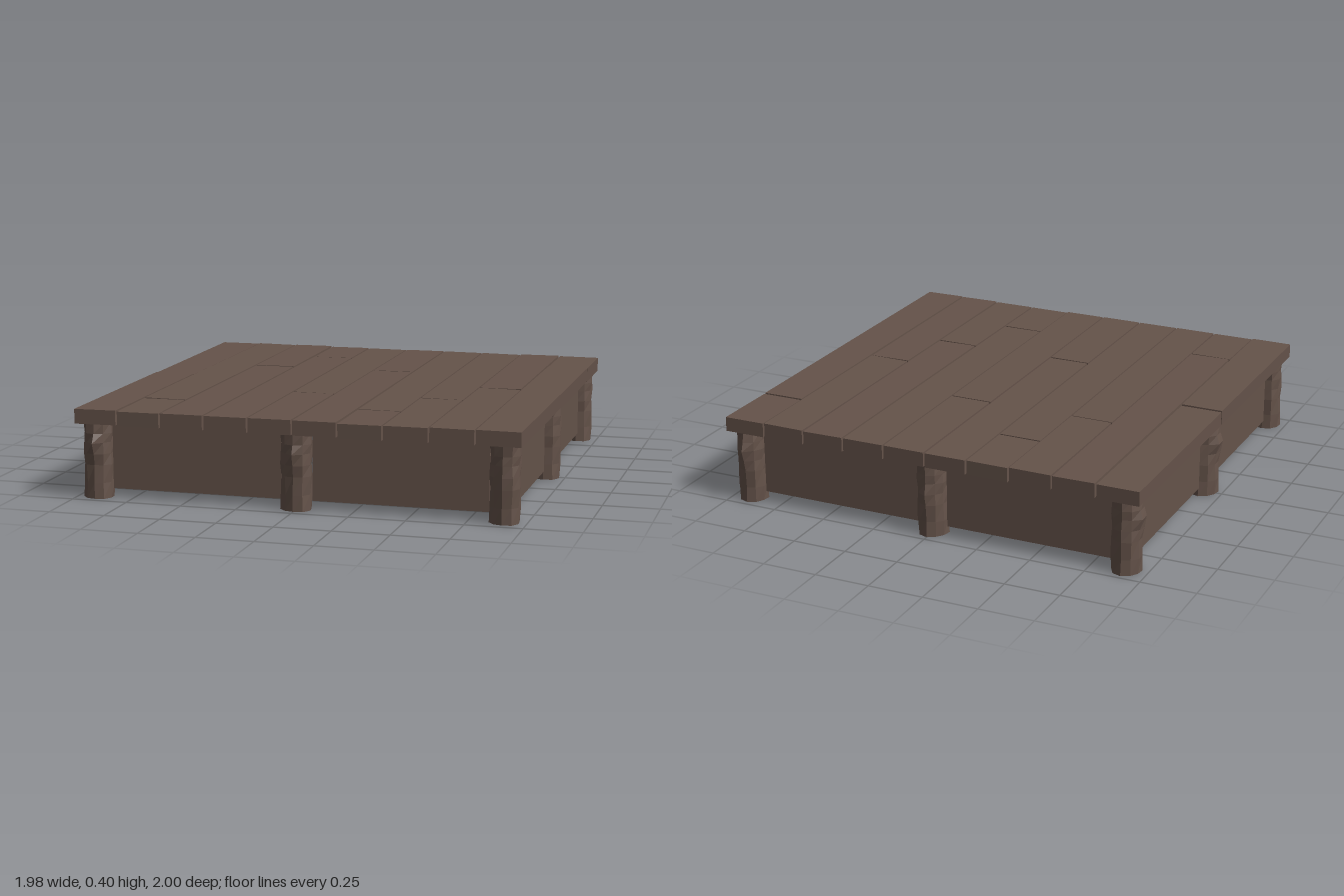
import * as THREE from 'three';

const wood = new THREE.MeshStandardMaterial({ color: 0x65534a, flatShading: true });
wood.name = 'weathered wood';

// Small seeded generator for the hand-hewn irregularities
function seeded(seed) {
  let s = seed;
  return () => {
    s = (s * 16807) % 2147483647;
    return s / 2147483647;
  };
}

function addBox(parent, name, size, position) {
  const mesh = new THREE.Mesh(new THREE.BoxGeometry(...size), wood);
  mesh.name = name;
  mesh.position.set(...position);
  parent.add(mesh);
  return mesh;
}

// Rough log: a ten-sided cylinder with a wobbly outline and one knot pulled outwards
function makePost(seed, knotAngle, knotY, knotSize) {
  const rand = seeded(seed);
  const sides = 10, height = 0.335;
  const heights = [0, 0.07, 0.15, 0.2, 0.25, 0.29, height];
  const rows = heights.length - 1;
  const wobble = Array.from({ length: sides }, () => (rand() - 0.5) * 0.008);
  const leanX = (rand() - 0.5) * 0.014, leanZ = (rand() - 0.5) * 0.014;
  const geo = new THREE.CylinderGeometry(1, 1, height, sides, rows);
  const p = geo.attributes.position;
  for (let i = 0; i < p.count; i++) {
    const r0 = Math.hypot(p.getX(i), p.getZ(i));
    const a = Math.atan2(p.getX(i), p.getZ(i));
    const row = Math.round((p.getY(i) / height + 0.5) * rows);
    const y = heights[row];
    const side = (Math.round((a / (Math.PI * 2)) * sides) + sides) % sides;
    const turn = Math.atan2(Math.sin(a - knotAngle), Math.cos(a - knotAngle));
    const knot = knotSize * Math.exp(-((turn / 0.42) ** 2) - ((y - knotY) / 0.045) ** 2);
    const r = r0 * (0.066 + wobble[side] + 0.003 * Math.sin(row * 2.1 + side * 1.7) + knot);
    const lean = y / height - 0.5;
    p.setXYZ(i, Math.sin(a) * r + leanX * lean, y, Math.cos(a) * r + leanZ * lean);
  }
  geo.computeVertexNormals();
  return new THREE.Mesh(geo, wood);
}

export function createModel() {
  const model = new THREE.Group();
  model.name = 'woodenPlatform';

  // Deck: ten columns, each cut into two planks at a staggered joint
  const deck = new THREE.Group();
  deck.name = 'deck';
  model.add(deck);
  const joints = [0, 0.66, -0.33, -0.66, 0.33, -0.33, 0.66, 0.33, 0, -0.66];
  const edge = 0.99, pitch = 0.198, gap = 0.008;
  const rand = seeded(4711);
  joints.forEach((joint, i) => {
    const x = -edge + pitch * (i + 0.5);
    [[-edge, joint - gap / 2], [joint + gap / 2, edge]].forEach(([z0, z1]) => {
      const length = z1 - z0;
      const plank = addBox(deck, 'plank', [pitch - gap, 0.065, length],
        [x, 0.367 + (rand() - 0.5) * 0.005, (z0 + z1) / 2]);
      plank.rotation.z = (rand() - 0.5) * 0.02;
      plank.rotation.x = ((rand() - 0.5) * 0.004) / length;
    });
  });

  // Skirt boards: two between the posts on every side
  const skirt = new THREE.Group();
  skirt.name = 'skirt';
  model.add(skirt);
  for (const side of [-1, 1]) {
    for (const half of [-1, 1]) {
      addBox(skirt, 'skirtBoardAcross', [0.77, 0.295, 0.03], [half * 0.455, 0.1875, side * 0.9]);
      addBox(skirt, 'skirtBoardAlong', [0.03, 0.295, 0.77], [side * 0.9, 0.1875, half * 0.455]);
    }
  }

  // Posts: x, z, knot direction, knot height, knot size
  const q = Math.PI / 2;
  const posts = [
    [-0.905, 0.91, 0, 0.25, 0.025],
    [0, 0.91, 0, 0.25, 0.018],
    [0.905, 0.91, 0.3, 0.16, 0.016],
    [-0.91, 0, -q, 0.25, 0.028],
    [0.91, 0, q, 0.2, 0.006],
    [-0.905, -0.91, -q, 0.25, 0.024],
    [0, -0.91, 2 * q, 0.2, 0.01],
    [0.905, -0.91, 2 * q, 0.25, 0.028],
  ];
  posts.forEach(([x, z, angle, y, size], i) => {
    const post = makePost(101 + i * 7919, angle, y, size);
    post.name = 'post';
    post.position.set(x, 0, z);
    model.add(post);
  });

  return model;
}
